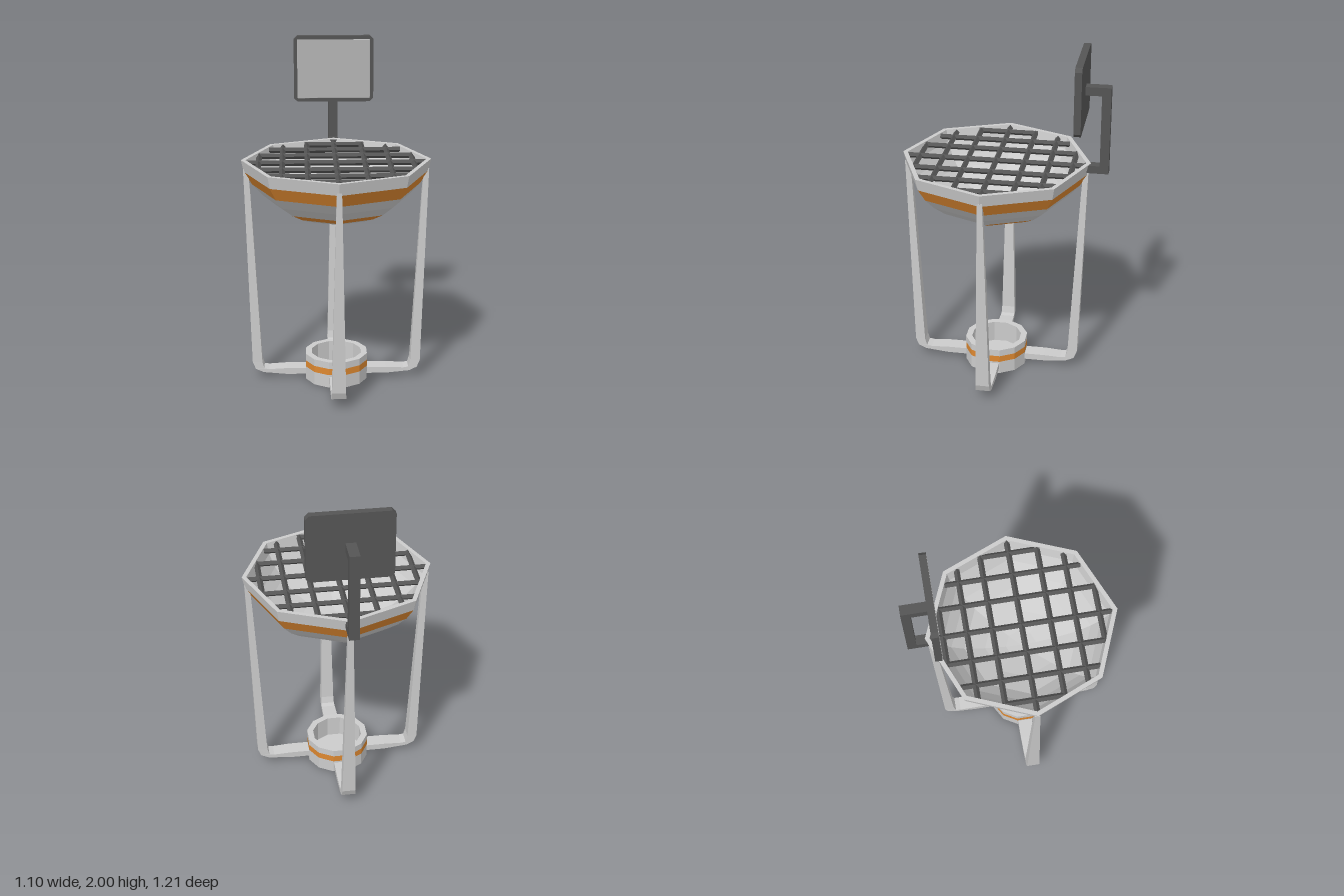
import * as THREE from 'three';
import { RoundedBoxGeometry } from 'three/addons/geometries/RoundedBoxGeometry.js';

const paint = (color) => new THREE.MeshStandardMaterial({ color, flatShading: true });
const GREY = paint(0xcccccc), ORANGE = paint(0xdd8830), DARK = paint(0x555555), PANEL = paint(0xb4b4b4);
const CZ = 0.05; // z of the bowl and stand axis

function add(parent, name, geometry, material, x = 0, y = 0, z = 0) {
  const mesh = new THREE.Mesh(geometry, material);
  mesh.name = name;
  mesh.position.set(x, y, z);
  parent.add(mesh);
  return mesh;
}

// Faceted surface of revolution from [radius, height] pairs
const lathe = (pts, sides) => new THREE.LatheGeometry(pts.map(([r, y]) => new THREE.Vector2(r, y)), sides);

// Leg reaching out along +z: sections of [outer r, outer y, inner r, inner y, half width]
function legGeometry() {
  const sections = [
    [0.54, 1.3, 0.51, 1.3, 0.014],
    [0.535, 1.15, 0.5, 1.15, 0.018],
    [0.505, 0.11, 0.447, 0.11, 0.04],
    [0.487, 0.066, 0.435, 0.068, 0.042],
    [0.44, 0.044, 0.405, 0.063, 0.043],
    [0.3, 0.031, 0.3, 0.069, 0.045],
    [0.17, 0.031, 0.17, 0.069, 0.045],
  ];
  const pos = [], index = [];
  for (const [ro, yo, ri, yi, w] of sections) pos.push(-w, yo, ro, w, yo, ro, w, yi, ri, -w, yi, ri);
  for (let i = 0; i < sections.length - 1; i++) {
    for (let k = 0; k < 4; k++) {
      const a = i * 4 + k, d = i * 4 + (k + 1) % 4;
      index.push(a, a + 4, d + 4, a, d + 4, d);
    }
  }
  const e = (sections.length - 1) * 4;
  index.push(0, 1, 2, 0, 2, 3, e, e + 2, e + 1, e, e + 3, e + 2);
  const g = new THREE.BufferGeometry();
  g.setAttribute('position', new THREE.Float32BufferAttribute(pos, 3));
  g.setIndex(index);
  g.computeVertexNormals();
  return g;
}

function createBowl() {
  const bowl = new THREE.Group();
  bowl.name = 'bowl';
  // Outer shell in coloured bands
  add(bowl, 'bowlBottom', lathe([[0, 0.985], [0.1, 0.992], [0.235, 1.03], [0.285, 1.05]], 8), GREY);
  add(bowl, 'lowerStripe', lathe([[0.285, 1.05], [0.36, 1.09]], 8), ORANGE);
  add(bowl, 'bowlMiddle', lathe([[0.36, 1.09], [0.435, 1.15], [0.49, 1.21]], 8), GREY);
  add(bowl, 'upperStripe', lathe([[0.49, 1.21], [0.536, 1.285]], 8), ORANGE);
  // Rim and inside
  add(bowl, 'bowlRimAndInside', lathe([[0.536, 1.285], [0.552, 1.355], [0.525, 1.355], [0.51, 1.285],
    [0.465, 1.21], [0.41, 1.15], [0.335, 1.09], [0.215, 1.045], [0.09, 1.015], [0, 1.008]], 8), GREY);
  return bowl;
}

function createGrate() {
  const grate = new THREE.Group();
  grate.name = 'grate';
  const R = 0.525, t = Math.tan(Math.PI / 8);
  for (const d of [-0.45, -0.312, -0.167, 0, 0.167, 0.312, 0.45]) {
    // Half length of a bar clipped by the octagonal rim
    const a = Math.abs(d);
    const half = Math.min(R - a * t, (R - a) / t);
    const geo = new THREE.CylinderGeometry(0.017, 0.017, half * 2, 4);
    add(grate, 'grateBarAcross', geo, DARK, 0, 1.335, d).rotation.z = Math.PI / 2;
    add(grate, 'grateBarAlong', geo, DARK, d, 1.335, 0).rotation.x = Math.PI / 2;
  }
  return grate;
}

function createBase() {
  const base = new THREE.Group();
  base.name = 'baseCup';
  const R = 0.19;
  add(base, 'cupLower', lathe([[0, 0], [R, 0], [R, 0.08]], 12), GREY);
  add(base, 'cupStripe', lathe([[R, 0.08], [R, 0.12]], 12), ORANGE);
  add(base, 'cupUpper', lathe([[R, 0.12], [R, 0.162], [0.152, 0.162], [0.152, 0.03], [0, 0.03]], 12), GREY);
  base.rotation.y = Math.PI / 12;
  return base;
}

function createScreen() {
  const screen = new THREE.Group();
  screen.name = 'screenAssembly';
  const box = (name, w, h, d, x, y, z) => add(screen, name, new THREE.BoxGeometry(w, h, d), DARK, x, y, z);
  // Bracket
  box('bracketPost', 0.058, 0.52, 0.052, 0, 1.565, -0.58);
  box('bracketUpperArm', 0.058, 0.05, 0.11, 0, 1.8, -0.505);
  box('bracketLowerArm', 0.058, 0.046, 0.1, 0, 1.328, -0.515);
  // Frame with clipped corners
  const w = 0.241, h = 0.2, c = 0.022;
  const shape = new THREE.Shape([[-w + c, -h], [w - c, -h], [w, -h + c], [w, h - c],
    [w - c, h], [-w + c, h], [-w, h - c], [-w, -h + c]].map(([x, y]) => new THREE.Vector2(x, y)));
  add(screen, 'screenFrame', new THREE.ExtrudeGeometry(shape, { depth: 0.04, bevelEnabled: false }), DARK, 0, 1.8, -0.461);
  add(screen, 'screenPanel', new RoundedBoxGeometry(0.442, 0.36, 0.01, 1, 0.004), PANEL, 0, 1.8, -0.424);
  return screen;
}

export function createModel() {
  const model = new THREE.Group();
  model.name = 'bowlStand';
  const stand = new THREE.Group();
  stand.name = 'stand';
  stand.position.z = CZ;
  stand.add(createBowl(), createGrate(), createBase());
  const leg = legGeometry();
  for (let i = 0; i < 4; i++) add(stand, 'leg', leg, GREY).rotation.y = i * Math.PI / 2;
  model.add(stand, createScreen());
  return model;
}
